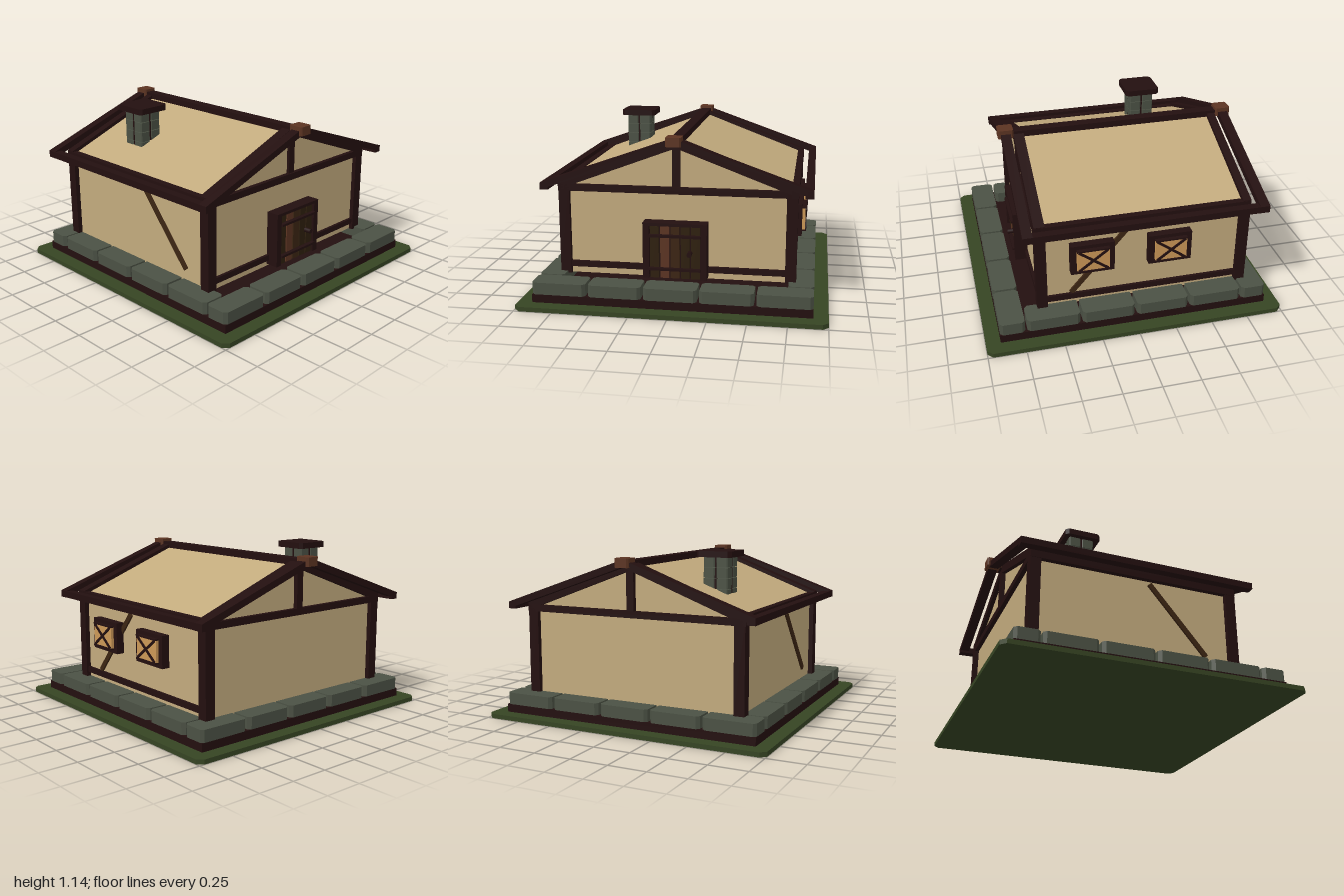
import * as THREE from 'three';

const mat = (name, color) => {
  const m = new THREE.MeshStandardMaterial({ color });
  m.name = name;
  return m;
};

export function createModel() {
  const house = new THREE.Group();
  house.name = 'cottage';

  const timber = mat('dark timber', 0x230f0f);
  const plaster = mat('plaster', 0xc2aa7d);
  const stone = mat('stone', 0x4b5144);
  const grass = mat('grass', 0x364423);
  const oak = mat('warm oak', 0x5c3422);
  const brown = mat('brown wood', 0x3c2513);
  const plank = mat('dark plank', 0x2e1f0e);
  const glow = mat('window glow', 0xcc9857);

  const add = (name, geo, material) => {
    const mesh = new THREE.Mesh(geo, material);
    mesh.name = name;
    house.add(mesh);
    return mesh;
  };

  // Box given by its lower and upper corners
  const box = (name, material, x0, x1, y0, y1, z0, z1) => {
    const m = add(name, new THREE.BoxGeometry(x1 - x0, y1 - y0, z1 - z0), material);
    m.position.set((x0 + x1) / 2, (y0 + y1) / 2, (z0 + z1) / 2);
    return m;
  };

  // Block whose vertical edges are chamfered by c
  const block = (name, material, x0, x1, y0, y1, z0, z1, c) => {
    const s = new THREE.Shape([
      [x0 + c, -z0], [x0, -z0 - c], [x0, -z1 + c], [x0 + c, -z1],
      [x1 - c, -z1], [x1, -z1 + c], [x1, -z0 - c], [x1 - c, -z0],
    ].map(([x, y]) => new THREE.Vector2(x, y)));
    const g = new THREE.ExtrudeGeometry(s, { depth: y1 - y0, bevelEnabled: false });
    g.rotateX(-Math.PI / 2);
    return add(name, g, material).translateY(y0);
  };

  // Sloped pair of rafters meeting at the ridge, cut plumb at the eaves
  const rafters = (name, half, ridgeTop, eaveTop, thick, z0, z1) => {
    const s = new THREE.Shape([
      [-half, eaveTop - thick], [0, ridgeTop - thick], [half, eaveTop - thick],
      [half, eaveTop], [0, ridgeTop], [-half, eaveTop],
    ].map(([x, y]) => new THREE.Vector2(x, y)));
    add(name, new THREE.ExtrudeGeometry(s, { depth: z1 - z0, bevelEnabled: false }), timber).position.z = z0;
  };

  // Ground and foundation
  block('ground', grass, -1, 1, 0, 0.03, -1, 1, 0.035);
  box('foundation', timber, -0.905, 0.905, 0.03, 0.085, -0.905, 0.905);
  const gap = 0.009;
  for (const s of [-1, 1]) {
    for (let i = 0; i < 5; i++) {
      const x = -0.905 + i * 0.362;
      block('foundationStone', stone, x + (i ? gap : 0), x + 0.362 - (i < 4 ? gap : 0),
        0.085, 0.165, s * 0.8225 - 0.0825, s * 0.8225 + 0.0825, 0.02);
    }
    for (let i = 0; i < 4; i++) {
      const z = -0.735 + i * 0.3675;
      block('foundationStone', stone, s * 0.8225 - 0.0825, s * 0.8225 + 0.0825,
        0.085, 0.165, z + gap, z + 0.3675 - gap, 0.02);
    }
  }

  // Plastered walls with gables and roof slopes
  const section = new THREE.Shape([
    [-0.755, 0.15], [0.755, 0.15], [0.755, 0.775], [0, 1.06], [-0.755, 0.775],
  ].map(([x, y]) => new THREE.Vector2(x, y)));
  add('wallsAndRoof', new THREE.ExtrudeGeometry(section, { depth: 1.375, bevelEnabled: false }), plaster)
    .position.z = -0.765;

  // Timber frame
  for (const s of [-1, 1]) {
    const x0 = s > 0 ? 0.715 : -0.787, x1 = x0 + 0.072;
    box('cornerPost', timber, x0, x1, 0.15, 0.765, 0.57, 0.64);
    box('cornerPost', timber, x0, x1, 0.15, 0.765, -0.795, -0.725);
    box('wallPlate', timber, s > 0 ? 0.745 : -0.79, s > 0 ? 0.79 : -0.745, 0.72, 0.785, -0.795, 0.64);
    box('eaveBeam', timber, s > 0 ? 0.83 : -0.885, s > 0 ? 0.885 : -0.83, 0.743, 0.788, -0.885, 0.725);
    // Diagonal brace
    const brace = add('diagonalBrace', new THREE.BoxGeometry(0.018, 0.6, 0.034), brown);
    brace.position.set(s * 0.76, 0.47, 0.215);
    brace.rotation.x = -Math.atan2(0.39, 0.46);
  }
  for (const [z0, z1] of [[0.57, 0.64], [-0.795, -0.74]]) {
    box('tieBeam', timber, -0.787, 0.787, 0.72, 0.765, z0, z1);
    box('kingPost', timber, -0.026, 0.026, 0.76, 1.04, z0, z1 - 0.01);
    rafters('gableRafters', 0.787, 1.085, 0.79, 0.062, z0, z1);
  }
  box('frontSill', timber, -0.72, 0.72, 0.195, 0.235, 0.58, 0.63);
  box('rightSill', timber, 0.73, 0.775, 0.195, 0.235, -0.73, 0.58);
  rafters('bargeRafters', 0.885, 1.098, 0.788, 0.046, 0.66, 0.725);
  rafters('bargeRafters', 0.885, 1.098, 0.788, 0.046, -0.885, -0.82);
  box('ridgeBeam', timber, -0.036, 0.036, 1.045, 1.09, -0.81, 0.65);
  block('ridgeCap', oak, -0.05, 0.05, 1.048, 1.108, 0.64, 0.745, 0.01);
  block('ridgeCap', oak, -0.05, 0.05, 1.048, 1.108, -0.905, -0.8, 0.01);

  // Chimney: three courses of four stones around thin mortar sheets
  for (let row = 0; row < 4; row++) {
    const y = 0.825 + row * 0.07;
    for (const i of [0, 1]) for (const j of [0, 1]) {
      const x = -0.525 + i * 0.09, z = -0.455 + j * 0.09;
      block('chimneyStone', stone, x, x + 0.08, y, y + 0.066, z, z + 0.08, 0.007);
    }
    box('chimneyMortar', timber, -0.445, -0.435, y, y + 0.066, -0.452, -0.288);
    box('chimneyMortar', timber, -0.522, -0.358, y, y + 0.066, -0.375, -0.365);
  }
  block('chimneyCap', timber, -0.56, -0.315, 1.1, 1.14, -0.49, -0.245, 0.02);

  // Door
  for (const s of [-1, 1]) box('doorJamb', timber, s * 0.19 - 0.021, s * 0.19 + 0.021, 0.165, 0.54, 0.6, 0.7);
  box('doorLintel', timber, -0.211, 0.211, 0.52, 0.54, 0.6, 0.7);
  box('doorBacking', timber, -0.17, 0.17, 0.165, 0.52, 0.6, 0.665);
  [plank, oak, brown, plank, plank].forEach((m, i) => {
    const x = -0.17 + i * 0.068;
    box('doorPlank', m, x + 0.005, x + 0.063, 0.165, 0.515, 0.66, 0.685);
  });
  for (const y of [0.455, 0.23]) box('doorStrap', timber, -0.17, 0.17, y - 0.008, y + 0.008, 0.68, 0.712);
  const knob = add('doorKnob', new THREE.CylinderGeometry(0.017, 0.017, 0.05, 8), timber);
  knob.rotation.x = Math.PI / 2;
  knob.position.set(0.1, 0.343, 0.708);

  // Windows on the right wall, each with a crossed lattice
  for (const z of [0.272, -0.246]) {
    box('windowFrame', timber, 0.74, 0.81, 0.413, 0.626, z - 0.144, z + 0.144);
    box('windowPane', glow, 0.8, 0.83, 0.442, 0.598, z - 0.106, z + 0.106);
    for (const s of [-1, 1]) {
      const bar = add('windowBar', new THREE.BoxGeometry(0.03, 0.016, 0.238), timber);
      bar.position.set(0.823, 0.52, z);
      bar.rotation.x = s * Math.atan2(0.15, 0.2);
      box('windowEdge', timber, 0.8, 0.838, 0.52 + s * 0.077 - 0.005, 0.52 + s * 0.077 + 0.005, z - 0.107, z + 0.107);
    }
  }

  return house;
}
